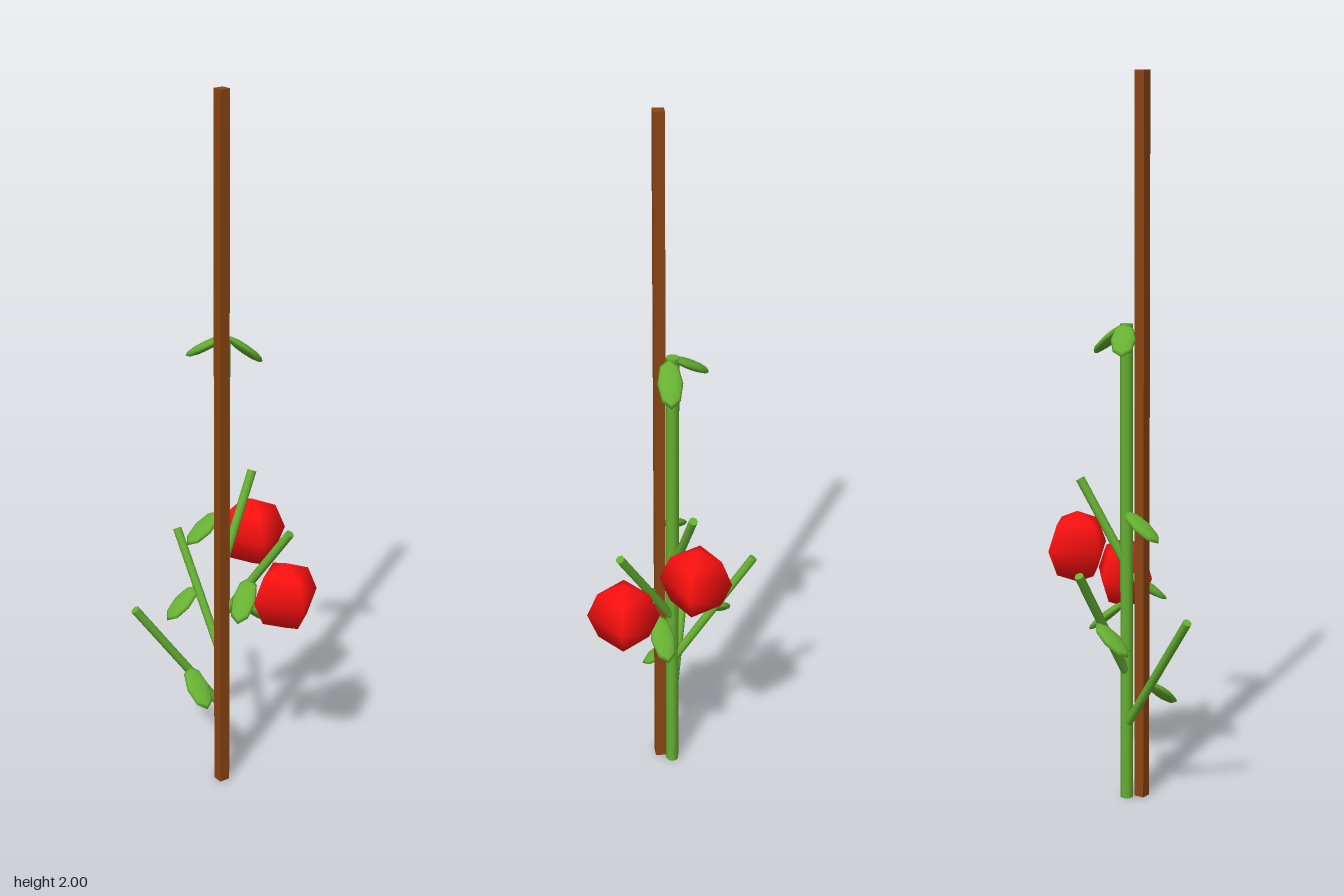
import * as THREE from 'three';

const green = new THREE.MeshStandardMaterial({ color: 0x66b032 });
const red = new THREE.MeshStandardMaterial({ color: 0xff1010 });
const brown = new THREE.MeshStandardMaterial({ color: 0x8b4513 });
const UP = new THREE.Vector3(0, 1, 0);

function add(group, name, geometry, material) {
  const mesh = new THREE.Mesh(geometry, material);
  mesh.name = name;
  group.add(mesh);
  return mesh;
}

// Straight stalk between two points
function stalk(group, name, from, to, radius) {
  const a = new THREE.Vector3(...from), b = new THREE.Vector3(...to);
  const dir = b.clone().sub(a);
  const mesh = add(group, name, new THREE.CylinderGeometry(radius, radius, dir.length(), 8), green);
  mesh.position.copy(a).add(b).multiplyScalar(0.5);
  mesh.quaternion.setFromUnitVectors(UP, dir.normalize());
}

// Flattened oval leaf from its base to its tip, kept level across its width
function leaf(group, from, to) {
  const a = new THREE.Vector3(...from), b = new THREE.Vector3(...to);
  const along = b.clone().sub(a);
  const geometry = new THREE.SphereGeometry(1, 8, 6);
  geometry.scale(0.034, 0.013, along.length() / 2);
  along.normalize();
  const across = new THREE.Vector3().crossVectors(UP, along).normalize();
  const normal = new THREE.Vector3().crossVectors(along, across);
  const mesh = add(group, 'leaf', geometry, green);
  mesh.quaternion.setFromRotationMatrix(new THREE.Matrix4().makeBasis(across, normal, along));
  mesh.position.copy(a).add(b).multiplyScalar(0.5);
}

export function createModel() {
  const model = new THREE.Group();
  model.name = 'stakedPlant';

  // Square support stake
  add(model, 'stake', new THREE.BoxGeometry(0.03, 2, 0.03), brown).position.set(0.025, 1, 0.015);

  // Main stem and side branches
  stalk(model, 'stem', [-0.007, 0, -0.014], [-0.007, 1.335, -0.014], 0.018);
  const branches = [
    [[-0.007, 0.36, -0.014], [-0.235, 0.69, -0.014]],
    [[-0.007, 0.21, -0.014], [-0.085, 0.565, 0.23]],
    [[-0.007, 0.51, -0.014], [0.15, 0.79, -0.125]],
    [[-0.007, 0.67, -0.014], [-0.047, 0.905, -0.14]],
  ];
  for (const [from, to] of branches) stalk(model, 'branch', from, to, 0.0125);

  // Leaves on the stem and branches
  const leaves = [
    [[-0.005, 1.335, -0.02], [-0.11, 1.262, 0.038]],
    [[0.004, 1.335, -0.02], [0.01, 1.245, -0.13]],
    [[-0.02, 0.825, -0.01], [-0.022, 0.75, 0.098]],
    [[-0.147, 0.54, -0.02], [-0.147, 0.46, 0.083]],
    [[0.05, 0.635, -0.065], [0.125, 0.55, 0.033]],
    [[-0.04, 0.36, 0.083], [0.067, 0.275, 0.093]],
    [[0.042, 0.55, -0.05], [0.022, 0.457, -0.16]],
  ];
  for (const [from, to] of leaves) leaf(model, from, to);

  // Four-sided fruits hanging below the upper branch tips
  const fruits = [
    [-0.054, 0.715, -0.145, -0.48 + 0.0],
    [0.142, 0.6, -0.118, -0.13],
  ];
  fruits[0][3] = -0.305;
  for (const [x, y, z, turn] of fruits) {
    const fruit = add(model, 'fruit', new THREE.SphereGeometry(0.1, 4, 4), red);
    fruit.position.set(x, y, z);
    fruit.rotation.y = turn;
  }
  return model;
}
